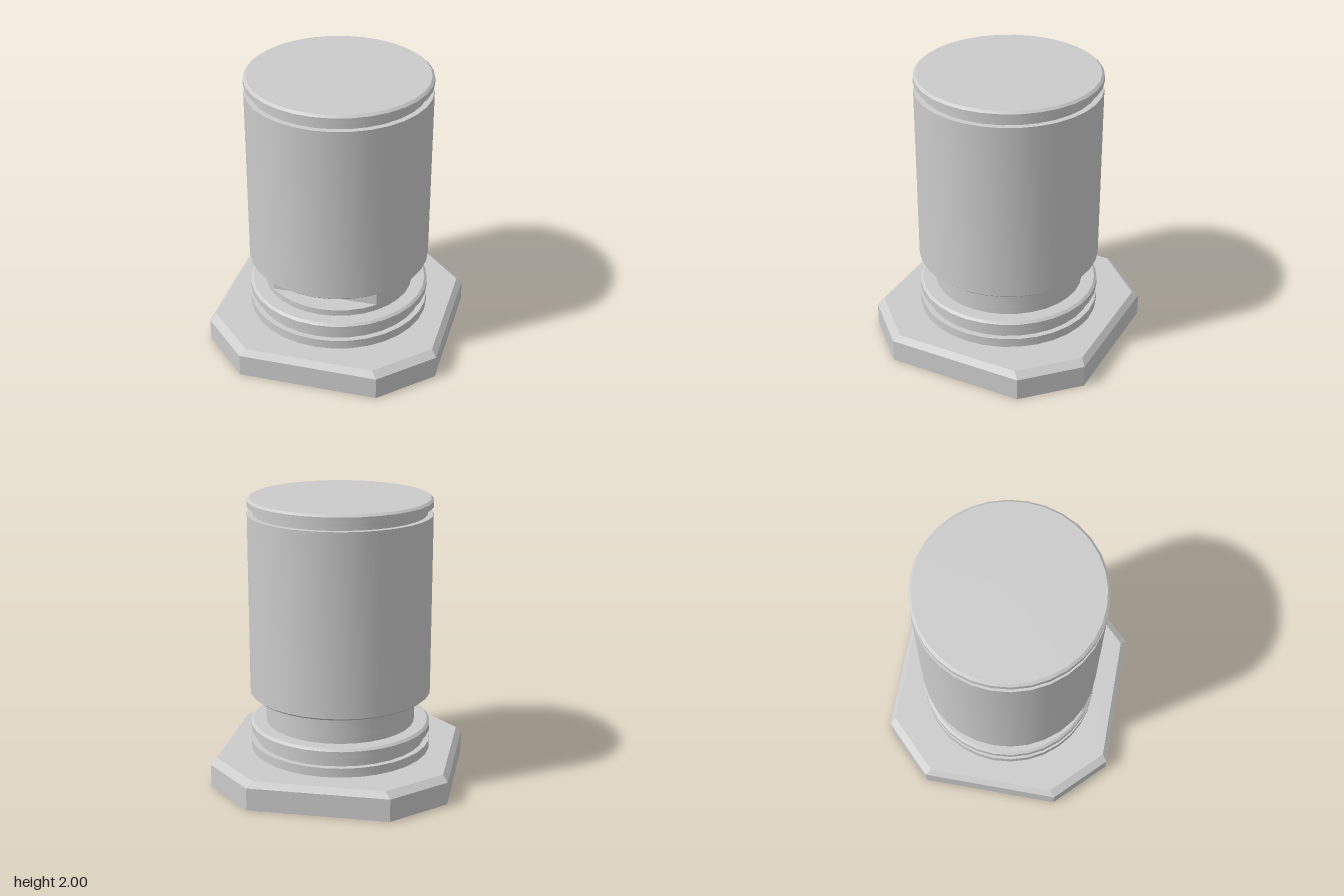
import * as THREE from 'three';
import { toCreasedNormals } from 'three/addons/utils/BufferGeometryUtils.js';
import { ConvexGeometry } from 'three/addons/geometries/ConvexGeometry.js';

const SEGMENTS = 32;
const material = new THREE.MeshStandardMaterial({ color: 0xcccccc });

function addPart(group, name, geometry) {
  const mesh = new THREE.Mesh(geometry, material);
  mesh.name = name;
  group.add(mesh);
}

// Solid of revolution from [radius, y] pairs, bottom to top, closed on the axis
function turned(profile) {
  const points = [[0, profile[0][1]], ...profile, [0, profile.at(-1)[1]]];
  const lathe = new THREE.LatheGeometry(points.map(([r, y]) => new THREE.Vector2(r, y)), SEGMENTS);
  return toCreasedNormals(lathe, Math.PI / 6);
}

// Square ring with cut corners
function octagon(half, corner, y) {
  const ring = [];
  for (const sx of [-1, 1]) for (const sz of [-1, 1]) {
    ring.push(new THREE.Vector3(sx * half, y, sz * corner), new THREE.Vector3(sx * corner, y, sz * half));
  }
  return ring;
}

export function createModel() {
  const group = new THREE.Group();

  // Octagonal foot with a chamfered top edge
  addPart(group, 'basePlate', new ConvexGeometry([
    ...octagon(0.83, 0.488, 0), ...octagon(0.83, 0.488, 0.16), ...octagon(0.794, 0.45, 0.2),
  ]));

  // Grooved collar on the foot
  addPart(group, 'lowerCollar', turned([
    [0.64, 0.2], [0.64, 0.265], [0.6, 0.265], [0.6, 0.335],
    [0.64, 0.335], [0.64, 0.385], [0.622, 0.4],
  ]));

  // Neck: full discs above and below a slot cut into the front
  const neckRadius = 0.53, slotBottom = 0.445, slotTop = 0.565;
  addPart(group, 'neckLower', turned([[neckRadius, 0.4], [neckRadius, slotBottom]]));
  addPart(group, 'neckUpper', turned([[neckRadius, slotTop], [neckRadius, 0.605]]));

  // Slotted section: circle with the front segment removed
  const outline = [];
  for (let i = 4; i <= SEGMENTS - 4; i++) {
    const a = (i / SEGMENTS) * Math.PI * 2;
    outline.push(new THREE.Vector2(Math.sin(a) * neckRadius, -Math.cos(a) * neckRadius));
  }
  const slotted = new THREE.ExtrudeGeometry(new THREE.Shape(outline), {
    depth: slotTop - slotBottom, bevelEnabled: false,
  });
  slotted.rotateX(-Math.PI / 2).translate(0, slotBottom, 0);
  addPart(group, 'neckSlot', toCreasedNormals(slotted, Math.PI / 6));

  // Main barrel, top groove and chamfered cap
  addPart(group, 'barrel', turned([
    [0.622, 0.605], [0.64, 0.62], [0.64, 1.89], [0.6, 1.89], [0.6, 1.945],
    [0.64, 1.945], [0.64, 1.985], [0.622, 2],
  ]));

  return group;
}
